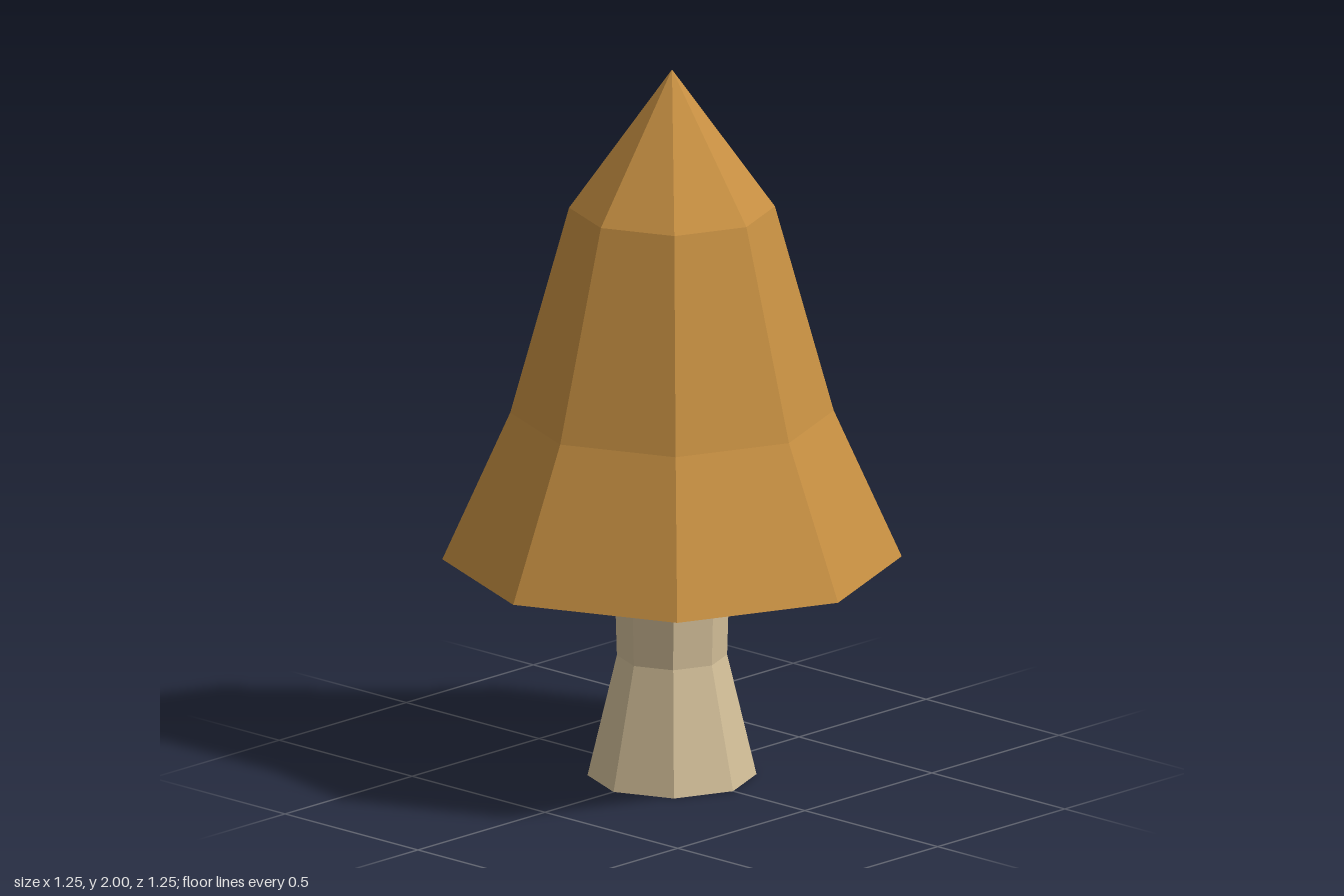
import * as THREE from 'three';

const SIDES = 8;

const foliageMaterial = new THREE.MeshStandardMaterial({ color: 0xc68f42 });
foliageMaterial.name = 'autumnOrange';
const barkMaterial = new THREE.MeshStandardMaterial({ color: 0xd2be98 });
barkMaterial.name = 'paleBark';

// Faceted eight-sided solid from a [radius, height] profile, bottom to top
function facetedLathe(name, profile, material) {
  const points = profile.map(([r, y]) => new THREE.Vector2(r, y));
  const geometry = new THREE.LatheGeometry(points, SIDES).toNonIndexed();
  geometry.computeVertexNormals();
  const mesh = new THREE.Mesh(geometry, material);
  mesh.name = name;
  return mesh;
}

export function createModel() {
  const tree = new THREE.Group();
  tree.name = 'tree';

  // Trunk: flared foot, narrow waist, slightly wider under the canopy
  tree.add(facetedLathe('trunk', [
    [0, 0], [0.23, 0], [0.15, 0.34], [0.158, 0.615],
  ], barkMaterial));

  // Canopy: flat underside, flared skirt, pointed top
  tree.add(facetedLathe('canopy', [
    [0, 0.615], [0.625, 0.615], [0.44, 1.03], [0.28, 1.61], [0, 2],
  ], foliageMaterial));

  return tree;
}
